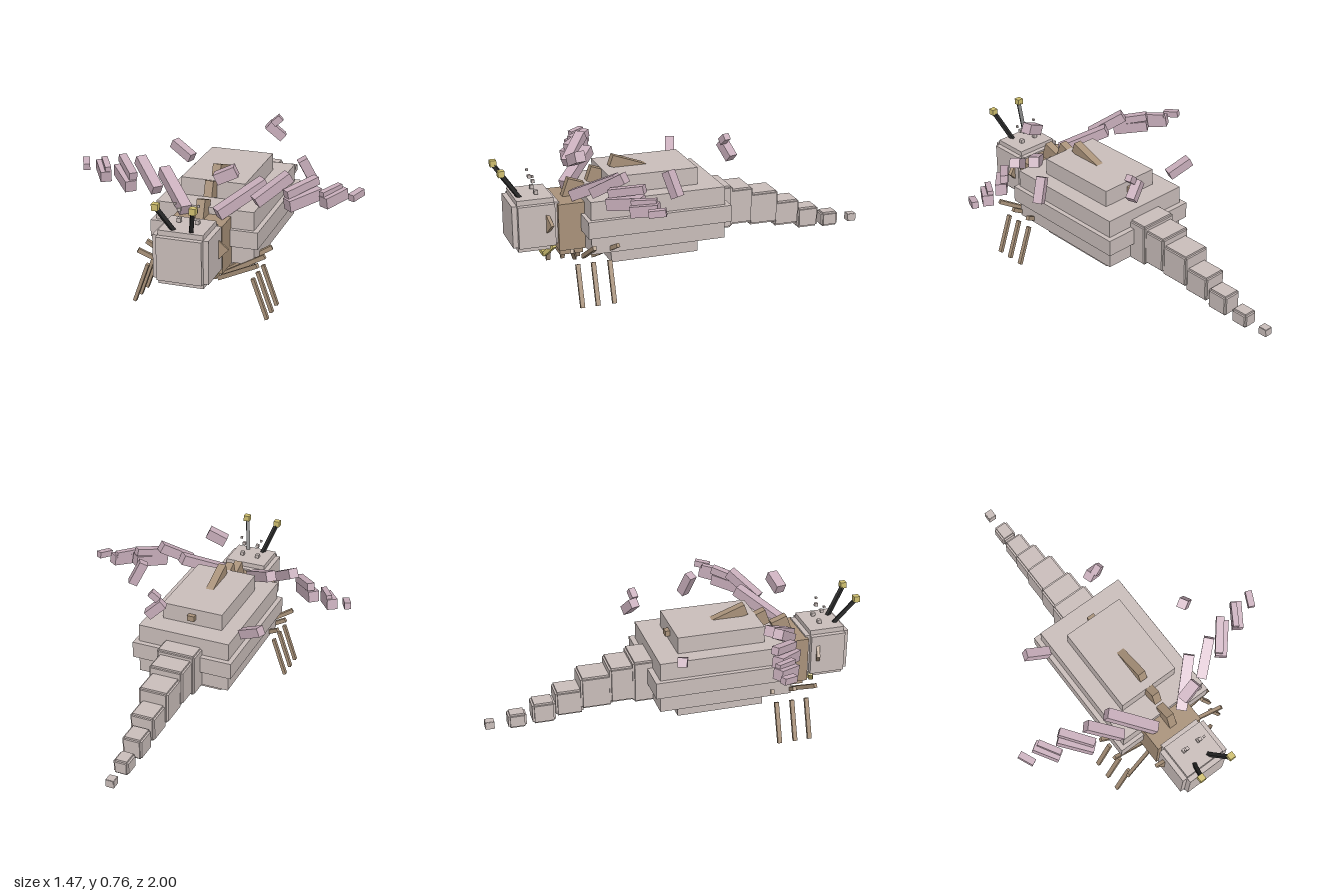
import * as THREE from 'three';

const mat = (name, color) => {
  const m = new THREE.MeshStandardMaterial({ color });
  m.name = name;
  return m;
};

export function createModel() {
  const shell = mat('pale shell', 0xc9bdba);
  const brown = mat('brown', 0xa9927a);
  const pink = mat('wing pink', 0xc8aebb);
  const yellow = mat('yellow', 0xd0c070);
  const black = mat('black', 0x2b2b2b);
  const model = new THREE.Group();
  model.name = 'insect';

  // Box from its lower and upper corners
  const box = (name, m, [x0, y0, z0], [x1, y1, z1], parent = model) => {
    const mesh = new THREE.Mesh(new THREE.BoxGeometry(x1 - x0, y1 - y0, z1 - z0), m);
    mesh.position.set((x0 + x1) / 2, (y0 + y1) / 2, (z0 + z1) / 2);
    mesh.name = name;
    parent.add(mesh);
    return mesh;
  };

  // Bar of a given width and height running from a to b
  const bar = (name, m, a, b, w, h = w) => {
    const from = new THREE.Vector3(...a), to = new THREE.Vector3(...b);
    const mesh = new THREE.Mesh(new THREE.BoxGeometry(w, h, from.distanceTo(to)), m);
    mesh.position.copy(from).lerp(to, 0.5);
    mesh.lookAt(to);
    mesh.name = name;
    model.add(mesh);
    return mesh;
  };

  // Block with stepped edges: three crossing boxes
  const stepped = (name, m, x, [y0, y1], [z0, z1], s) => {
    const g = new THREE.Group();
    g.name = name;
    box('wideBlock', m, [-x, y0 + s, z0 + s], [x, y1 - s, z1 - s], g);
    box('tallBlock', m, [-x + s, y0, z0 + s], [x - s, y1, z1 - s], g);
    box('longBlock', m, [-x + s, y0 + s, z0], [x - s, y1 - s, z1], g);
    model.add(g);
  };

  // Body
  box('bodyBelt', shell, [-0.275, 0.337, -0.16], [0.275, 0.425, 0.595]);
  box('bodyCore', shell, [-0.25, 0.245, -0.132], [0.25, 0.52, 0.575]);
  box('backAndBelly', shell, [-0.165, 0.155, -0.015], [0.165, 0.61, 0.45]);
  box('backPeg', brown, [-0.02, 0.55, -0.04], [0.02, 0.58, -0.01]);
  box('bellyPeg', brown, [-0.025, 0.147, 0.38], [0.025, 0.16, 0.43]);

  // Neck and head
  box('neck', brown, [-0.135, 0.24, 0.565], [0.135, 0.485, 0.71]);
  box('neckUnderside', brown, [-0.1, 0.205, 0.58], [0.1, 0.25, 0.7]);
  stepped('head', shell, 0.138, [0.25, 0.52], [0.7, 0.94], 0.026);

  // Tail: half width, y range, z range
  [
    [0.105, [0.235, 0.465], [-0.235, -0.1]],
    [0.092, [0.245, 0.44], [-0.355, -0.16]],
    [0.08, [0.225, 0.4], [-0.505, -0.34]],
    [0.065, [0.195, 0.33], [-0.635, -0.49]],
    [0.052, [0.16, 0.272], [-0.755, -0.635]],
    [0.04, [0.145, 0.223], [-0.88, -0.785]],
    [0.022, [0.15, 0.192], [-0.998, -0.95]],
  ].forEach(([x, y, z]) => stepped('tailSegment', shell, x, y, z, x > 0.03 ? 0.01 : 0.002));

  // Spikes along the back, rising forward
  [[0.60, 0.515, 0.09, 0.1], [0.475, 0.575, 0.09, 0.08], [0.285, 0.605, 0.24, 0.06]].forEach(([z, y, len, h]) => {
    const spike = box('backSpike', brown, [-0.021, y - h / 2, z - len / 2], [0.021, y + h / 2, z + len / 2]);
    spike.rotation.x = -0.35;
  });

  // Mouth bar
  bar('mouthBar', yellow, [-0.055, 0.203, 0.768], [0.055, 0.203, 0.768], 0.022);

  for (const s of [1, -1]) {
    bar('mouthHook', yellow, [s * 0.05, 0.2, 0.768], [s * 0.12, 0.268, 0.735], 0.022);

    // Antennae
    bar('antenna', black, [s * 0.042, 0.51, 0.88], [s * 0.087, 0.655, 0.98], 0.019);
    const tip = box('antennaTip', yellow, [-0.016, -0.016, -0.016], [0.016, 0.016, 0.016]);
    tip.position.set(s * 0.091, 0.665, 0.982);

    // Floating cubes over the head
    [[0.045, 0.535, 0.80, 0.02], [0.04, 0.592, 0.812, 0.017], [0.058, 0.622, 0.818, 0.011]].forEach(([x, y, z, d]) => {
      const e = d / 2;
      box('headCube', shell, [s * x - e, y - e, z - e], [s * x + e, y + e, z + e]);
    });

    // Diamond plates on the cheeks
    const plate = box('cheekPlate', brown, [-0.045, -0.045, -0.009], [0.045, 0.045, 0.009]);
    plate.position.set(s * 0.12, 0.393, 0.77);
    plate.rotation.set(0, s * 0.3, Math.PI / 4);

    // Legs, upper and lower parts standing apart
    [[0.62, 0.69, 0.655], [0.575, 0.575, 0.575], [0.525, 0.455, 0.49]].forEach(([zi, zo, zl]) => {
      bar('upperLeg', brown, [s * 0.085, 0.175, zi], [s * 0.305, 0.3, zo], 0.018, 0.022);
      bar('lowerLeg', brown, [s * 0.27, 0.213, zl], [s * 0.343, 0.008, zl], 0.022, 0.017);
    });

    // Wing chain: start, end, thickness
    [
      [[0.08, 0.51, 0.62], [0.26, 0.63, 0.44], 0.055],
      [[0.25, 0.57, 0.56], [0.385, 0.675, 0.44], 0.052],
      [[0.40, 0.56, 0.53], [0.52, 0.59, 0.39], 0.058],
      [[0.39, 0.61, 0.52], [0.505, 0.65, 0.38], 0.04],
      [[0.56, 0.568, 0.465], [0.635, 0.59, 0.35], 0.055],
      [[0.55, 0.605, 0.46], [0.615, 0.62, 0.355], 0.03],
      [[0.685, 0.59, 0.42], [0.72, 0.602, 0.345], 0.034],
    ].forEach(([a, b, t]) => bar('wingSegment', pink, a.map((v, i) => i ? v : v * s), b.map((v, i) => i ? v : v * s), t));
  }

  // Loose wing pieces
  [
    [[0.075, 0.69, 0.62], [0.17, 0.735, 0.6], 0.055],
    [[-0.28, 0.535, -0.02], [-0.395, 0.595, -0.06], 0.048],
    [[0.385, 0.685, 0.22], [0.44, 0.565, 0.19], 0.048],
    [[0.09, 0.71, -0.175], [0.165, 0.64, -0.2], 0.048],
    [[0.12, 0.72, -0.165], [0.16, 0.755, -0.175], 0.035],
  ].forEach(([a, b, t]) => bar('looseWingPiece', pink, a, b, t));

  return model;
}
